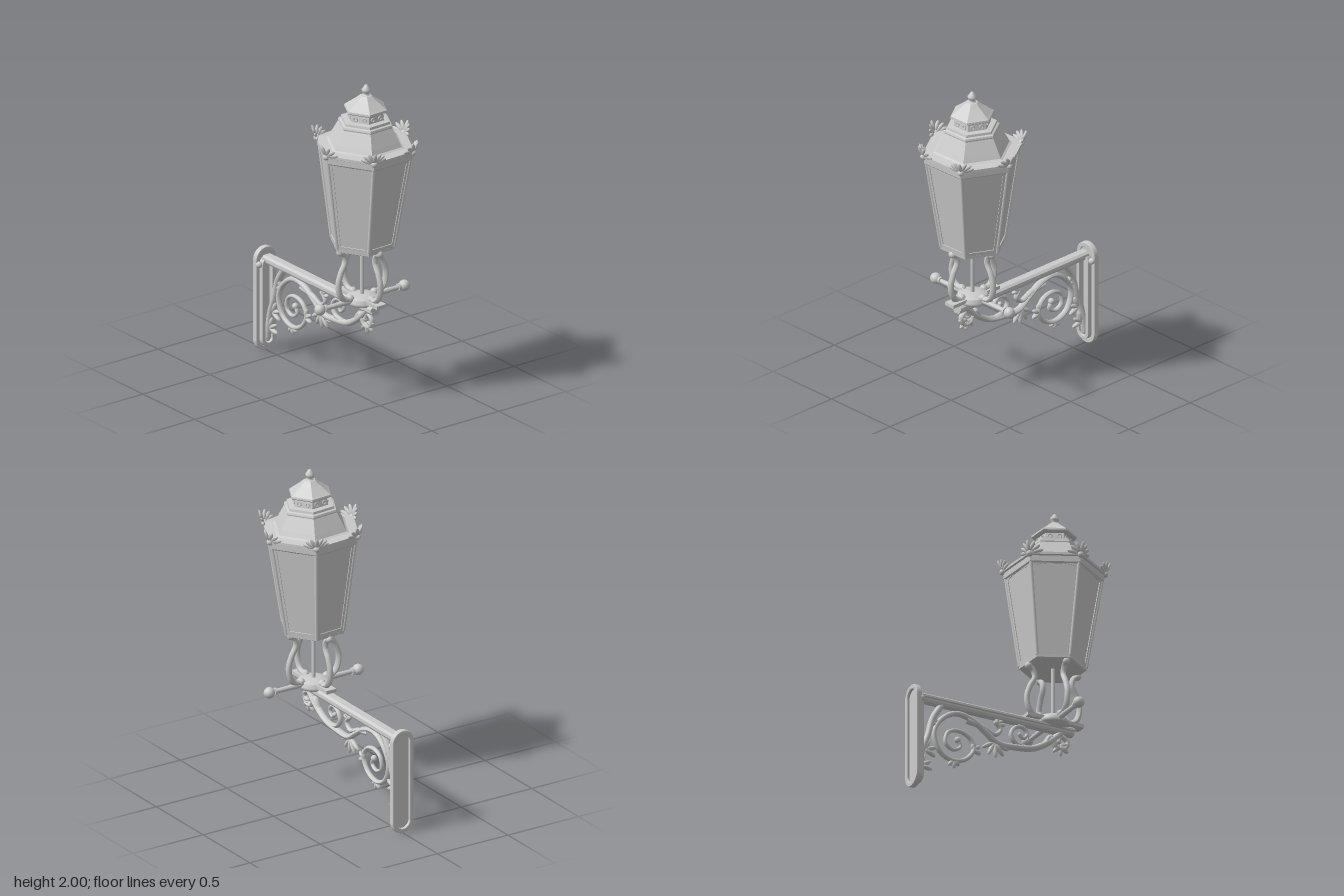
import * as THREE from 'three';

const metal = new THREE.MeshStandardMaterial({ color: 0xcccccc });
const facet = new THREE.MeshStandardMaterial({ color: 0xcccccc, flatShading: true });
const thin = new THREE.MeshStandardMaterial({ color: 0xcccccc, flatShading: true, side: THREE.DoubleSide });

function add(parent, name, geo, mat = metal, x = 0, y = 0, z = 0) {
  const m = new THREE.Mesh(geo, mat);
  m.name = name;
  m.position.set(x, y, z);
  parent.add(m);
  return m;
}

function group(parent, name) {
  const g = new THREE.Group();
  g.name = name;
  parent.add(g);
  return g;
}

const lathe = (pts, sides) => new THREE.LatheGeometry(pts.map(p => new THREE.Vector2(...p)), sides);

// Six-sided turned body with corners on the x axis
const hexLathe = pts => lathe(pts, 6).rotateY(Math.PI / 6);

// Tube along a smooth path, its radius shrinking towards the end
function taperTube(points, r, endScale = 1, seg = points.length * 7) {
  const path = new THREE.CatmullRomCurve3(points);
  const geo = new THREE.TubeGeometry(path, seg, r, 8);
  const pos = geo.attributes.position, v = new THREE.Vector3();
  for (let i = 0; i < pos.count; i++) {
    const t = Math.floor(i / 9) / seg;
    const c = path.getPointAt(t);
    v.fromBufferAttribute(pos, i).sub(c).multiplyScalar(1 + (endScale - 1) * t).add(c);
    pos.setXYZ(i, v.x, v.y, v.z);
  }
  geo.computeVertexNormals();
  return geo;
}

// Upright stadium outline between two heights
function stadium(hw, y0, y1, Type = THREE.Shape) {
  const s = new Type();
  s.absarc(0, y1 - hw, hw, 0, Math.PI);
  s.absarc(0, y0 + hw, hw, Math.PI, 2 * Math.PI);
  s.closePath();
  return s;
}

const extrude = (shape, depth, bevel = 0) => new THREE.ExtrudeGeometry(shape, {
  depth, bevelEnabled: bevel > 0, bevelSize: bevel, bevelThickness: bevel, bevelSegments: 2, curveSegments: 14 });

const leafGeo = new THREE.SphereGeometry(1, 8, 6);

function wallPlate(root) {
  const g = group(root, 'wallPlate');
  const rim = stadium(0.07, 0.005, 0.655);
  rim.holes.push(stadium(0.052, 0.025, 0.635, THREE.Path));
  add(g, 'plateRim', extrude(rim, 0.025, 0.005), metal, 0, 0, -0.63);
  add(g, 'platePanel', extrude(stadium(0.054, 0.023, 0.637), 0.012), metal, 0, 0, -0.618);
  const lip = stadium(0.046, 0.035, 0.6);
  lip.holes.push(stadium(0.03, 0.052, 0.583, THREE.Path));
  add(g, 'plateMoulding', extrude(lip, 0.03, 0.004), metal, 0, 0, -0.607);
  for (const s of [-1, 1])
    add(g, 'plateKnob', new THREE.SphereGeometry(0.02, 12, 8), metal, s * 0.058, 0.56, -0.595);
  add(g, 'plateBolt', new THREE.SphereGeometry(0.014, 10, 8), metal, 0, 0.04, -0.6);
}

function bracket(root) {
  const g = group(root, 'bracketArm');
  // Stepped rail section, mirrored about its middle
  const half = [[0.02, 0.562], [0.028, 0.575], [0.028, 0.585], [0.037, 0.59], [0.036, 0.603], [0.022, 0.614]];
  const rail = new THREE.Shape([...half, ...half.map(([x, y]) => [-x, y]).reverse()].map(p => new THREE.Vector2(...p)));
  add(g, 'rail', extrude(rail, 1.05), metal, 0, 0, -0.595);

  // Scrolls drawn in the side plane as (z, y) in hundredths
  const scrolls = [
    [0.021, 0.5, [[39, 58], [29, 49], [19, 43], [7, 41], [-5, 41], [-14, 47], [-22, 52], [-33, 54], [-43, 48], [-48, 38],
      [-44, 27], [-35, 23], [-26, 26], [-21, 34], [-25, 41], [-33, 43], [-39, 40], [-40, 33], [-35, 30], [-30, 33], [-32, 37]]],
    [0.02, 0.9, [[-43, 57], [-49, 47], [-52, 36], [-56, 25], [-59, 8]]],
    [0.015, 0.7, [[16, 42], [7, 44], [4, 49], [7, 54], [12, 55], [15, 51], [12, 48], [10, 50]]],
    [0.017, 0.7, [[-26, 51], [-15, 49], [-7, 46], [-3, 50], [-6, 54]]],
    [0.017, 0.7, [[27, 48], [31, 53], [35, 47], [40, 47], [42, 52], [38, 55], [36, 51]]],
  ];
  for (const [r, end, pts] of scrolls) {
    const m = add(g, 'scroll', taperTube(pts.map(([z, y]) => new THREE.Vector3(0, y / 100, z / 100)), r, end));
    m.scale.x = 1.2;
    const [z, y] = pts[pts.length - 1];
    add(g, 'scrollEnd', new THREE.SphereGeometry(r * 0.95, 10, 8), metal, 0, y / 100, z / 100);
  }

  // Leaf sprays: z, y, middle direction (degrees from up towards +z), spread, count, length
  const sprays = [[-7, 41, 175, 130, 5, 0.1], [-54, 26, 70, 90, 3, 0.08], [-57, 15, 60, 80, 3, 0.08], [-35, 23, 170, 100, 3, 0.05],
    [-5, 53, 40, 90, 3, 0.05], [37, 49, 150, 140, 4, 0.07], [-22, 33, 60, 100, 3, 0.06], [-46, 44, -60, 80, 2, 0.06]];
  for (const [z, y, mid, spread, n, len] of sprays)
    for (let i = 0; i < n; i++) {
      const a = (mid + spread * (i / (n - 1) - 0.5)) * Math.PI / 180;
      const m = add(g, 'leaf', leafGeo, metal, 0, y / 100 + Math.cos(a) * len / 2, z / 100 + Math.sin(a) * len / 2);
      m.scale.set(0.016, len / 2, 0.014);
      m.rotation.x = a;
    }
}

function support(root) {
  const g = group(root, 'lampSupport');
  g.position.z = 0.325;
  add(g, 'hub', lathe([[0, 0.585], [0.05, 0.59], [0.095, 0.605], [0.1, 0.625], [0.085, 0.64], [0.09, 0.65], [0.04, 0.66], [0, 0.662]], 20));
  add(g, 'basePlate', new THREE.BoxGeometry(0.07, 0.022, 0.38), metal, 0, 0.634, 0);
  add(g, 'centreRod', new THREE.CylinderGeometry(0.012, 0.012, 0.34, 10), metal, 0, 0.815, 0);

  // Four S-shaped legs
  const leg = taperTube([[0.07, 0.645], [0.135, 0.655], [0.165, 0.69], [0.177, 0.76], [0.157, 0.83], [0.125, 0.895],
    [0.135, 0.94], [0.17, 0.965]].map(([x, y]) => new THREE.Vector3(x, y, 0)), 0.019, 0.9);
  for (let i = 0; i < 4; i++) {
    const q = group(g, 'leg');
    q.rotation.y = i * Math.PI / 2;
    add(q, 'legCurve', leg);
    add(q, 'legTop', new THREE.SphereGeometry(0.023, 12, 8), metal, 0.165, 0.963, 0);
    add(q, 'legFoot', new THREE.SphereGeometry(0.024, 12, 8), metal, 0.09, 0.65, 0);
  }

  // Ladder rest: tapered bars ending in balls
  for (const s of [-1, 1]) {
    const bar = add(g, 'ladderBar', new THREE.CylinderGeometry(0.013, 0.02, 0.3, 10), metal, s * 0.155, 0.632, 0);
    bar.rotation.z = -s * Math.PI / 2;
    add(g, 'ladderBall', new THREE.SphereGeometry(0.034, 16, 12), metal, s * 0.315, 0.634, 0);
    const collar = add(g, 'ladderCollar', new THREE.CylinderGeometry(0.022, 0.022, 0.014, 12), metal, s * 0.275, 0.633, 0);
    collar.rotation.z = Math.PI / 2;
  }
}

function lantern(root) {
  // Leans slightly and is turned a little on its stand
  const lean = group(root, 'lanternMount');
  lean.position.set(0.004, 0.96, 0.325);
  lean.rotation.set(0.018, 0, -0.012);
  const g = group(lean, 'lantern');
  g.position.y = -0.96;
  g.rotation.y = 0.05;

  add(g, 'floor', hexLathe([[0, 0.978], [0.185, 0.968], [0.2, 0.975], [0.202, 0.992], [0.188, 1.0]]), facet);

  // Glazed sides
  const y0 = 0.985, y1 = 1.6, r0 = 0.195, r1 = 0.29, k = Math.cos(Math.PI / 6);
  const tilt = Math.atan2((r1 - r0) * k, y1 - y0), L = Math.hypot((r1 - r0) * k, y1 - y0);
  const b = r0 / 2, t = r1 / 2;
  const outline = () => new THREE.Shape([[-b, 0], [b, 0], [t, L], [-t, L]].map(p => new THREE.Vector2(...p)));
  const frame = outline();
  const hole = new THREE.Path();
  hole.moveTo(-b + 0.022, 0.03);
  hole.lineTo(b - 0.022, 0.03);
  hole.lineTo(t - 0.03, L - 0.055);
  hole.quadraticCurveTo(0, L - 0.03, -t + 0.03, L - 0.055);
  hole.closePath();
  frame.holes.push(hole);
  const frameGeo = extrude(frame, 0.01), glassGeo = new THREE.ShapeGeometry(outline());
  for (let i = 0; i < 6; i++) {
    const side = group(g, 'side');
    side.rotation.y = i * Math.PI / 3;
    const panel = group(side, 'panel');
    panel.position.set(0, y0, r0 * k);
    panel.rotation.x = tilt;
    add(panel, 'frame', frameGeo, facet, 0, 0, -0.005);
    add(panel, 'glass', glassGeo, thin);
    // Vent rings in the neck
    for (const s of [-0.5, 0.5])
      add(side, 'ventRing', new THREE.TorusGeometry(0.012, 0.004, 6, 12), metal, s * 0.056, 1.808, 0.099);

    const corner = group(g, 'corner');
    corner.rotation.y = (i + 0.5) * Math.PI / 3;
    const post = add(corner, 'cornerPost', new THREE.CylinderGeometry(0.011, 0.011, 0.61, 8), metal, 0, (y0 + y1) / 2, (r0 + r1) / 2);
    post.rotation.x = Math.atan2(r1 - r0, y1 - y0);

    // Palmette folded round the corner and leaning out
    const fan = group(corner, 'palmette');
    fan.position.set(0, 1.605, 0.302);
    for (let j = -3; j <= 3; j++) {
      const a = j * 0.44, x = Math.sin(a) * 0.046, y = 0.008 + Math.cos(a) * 0.04;
      const m = add(fan, 'petal', leafGeo, metal, x, y, y * 0.4 - Math.abs(x) * 0.5);
      m.scale.set(0.013, 0.036, 0.009);
      m.rotation.set(0.38, Math.sign(j) * 0.5, -a, 'YXZ');
    }
    add(fan, 'palmetteBase', new THREE.SphereGeometry(0.02, 10, 8), metal, 0, 0.005, 0);
  }

  add(g, 'roof', hexLathe([[0.27, 1.565], [0.287, 1.555], [0.298, 1.565], [0.3, 1.6], [0.312, 1.605], [0.312, 1.62],
    [0.245, 1.625], [0.23, 1.632], [0.216, 1.66], [0.17, 1.745], [0.172, 1.752], [0.168, 1.763], [0.155, 1.768],
    [0.152, 1.783], [0.116, 1.787], [0.108, 1.83], [0.126, 1.835], [0.136, 1.842], [0.134, 1.854], [0.122, 1.862],
    [0.065, 1.905], [0.036, 1.93], [0, 1.935]]), facet);
  add(g, 'finial', lathe([[0.03, 1.925], [0.02, 1.935], [0.016, 1.944], [0.026, 1.955], [0.027, 1.968], [0.016, 1.983],
    [0.009, 1.995], [0, 2.0]], 16));
}

export function createModel() {
  const root = new THREE.Group();
  root.name = 'wallLantern';
  wallPlate(root);
  bracket(root);
  support(root);
  lantern(root);
  return root;
}
